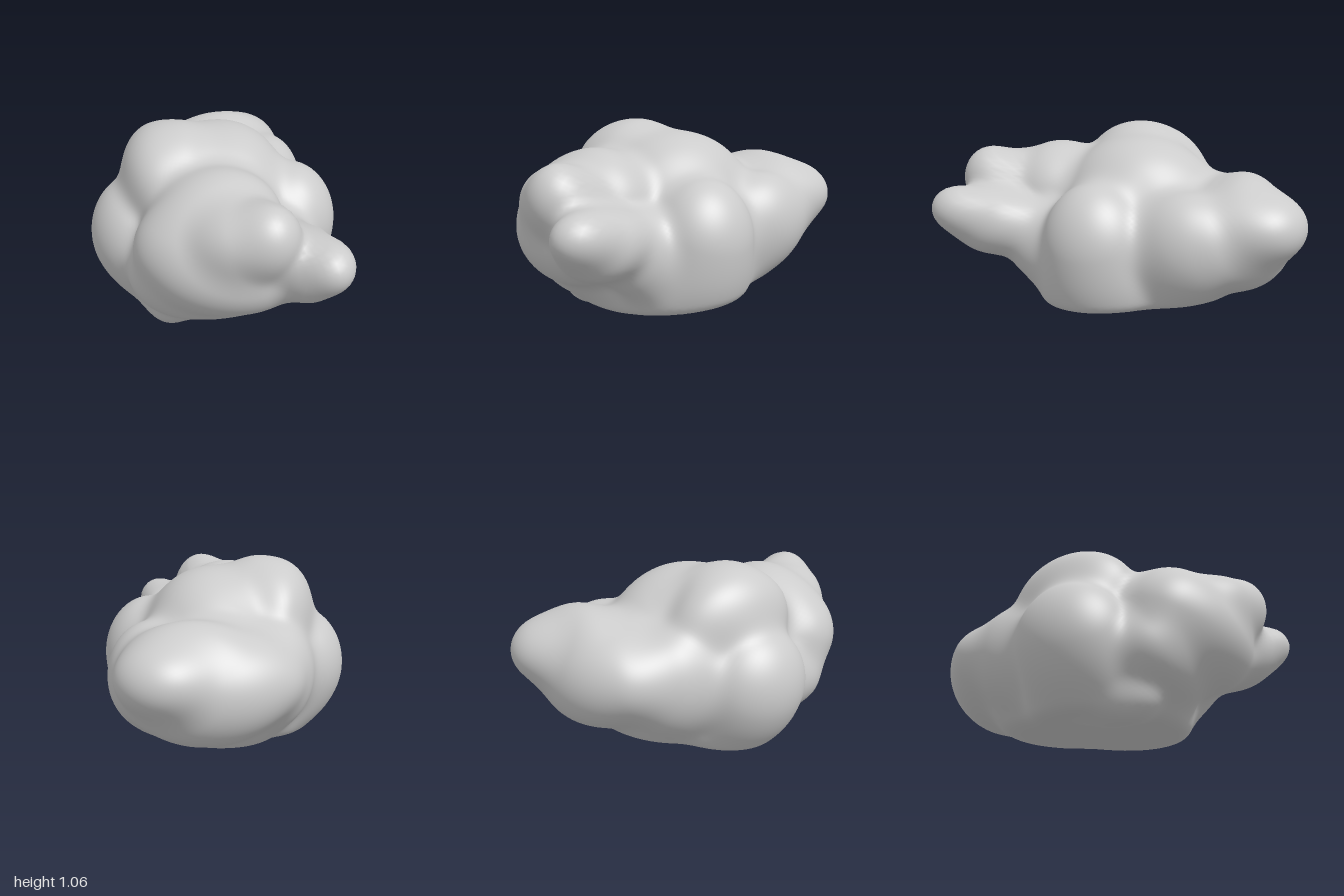
import * as THREE from 'three';
import { mergeVertices } from 'three/addons/utils/BufferGeometryUtils.js';

// Lumps of the boulder: centre x, y, z and radii x, y, z
const lumps = [
  [[0, 0.5, -0.05], [0.47, 0.42, 0.6]],        // core
  [[0.03, 0.28, 0.07], [0.6, 0.4, 0.46]],      // broad base
  [[0.04, 0.4, -0.35], [0.43, 0.3, 0.34]],     // back of base
  [[0.05, 0.3, -0.26], [0.42, 0.27, 0.29]],    // low back of base
  [[-0.42, 0.44, 0.07], [0.265, 0.32, 0.31]],  // right flank
  [[0.415, 0.48, 0.07], [0.265, 0.33, 0.28]],  // left flank
  [[-0.3, 0.5, -0.3], [0.21, 0.28, 0.3]],      // right back flank
  [[0.35, 0.5, -0.4], [0.22, 0.28, 0.3]],      // left back flank
  [[-0.2, 0.75, 0.04], [0.27, 0.305, 0.33]],   // crown
  [[0.05, 0.72, -0.04], [0.33, 0.285, 0.38]],  // crown ridge
  [[-0.32, 0.78, 0.02], [0.17, 0.23, 0.33]],   // crown shoulder
  [[0.02, 0.53, -0.57], [0.46, 0.28, 0.29]],   // back
  [[0.06, 0.49, -0.66], [0.36, 0.26, 0.24]],   // low back
  [[0.12, 0.64, -0.64], [0.28, 0.205, 0.17]],  // back hump
  [[0.22, 0.6, -0.76], [0.25, 0.19, 0.24]],    // back tip
  [[-0.07, 0.57, 0.52], [0.38, 0.3, 0.3]],     // front
  [[0, 0.68, 0.45], [0.32, 0.27, 0.28]],       // front top
  [[-0.12, 0.37, 0.43], [0.36, 0.25, 0.26]],   // front underside
  [[0.06, 0.51, 0.63], [0.37, 0.24, 0.25]],    // jaw
  [[0.1, 0.71, 0.72], [0.25, 0.19, 0.2]],      // brow
  [[0.2, 0.76, 0.8], [0.14, 0.165, 0.145]],    // brow peak
  [[0.48, 0.625, 0.85], [0.125, 0.125, 0.15]], // front knob
  [[0.4, 0.55, 0.68], [0.17, 0.18, 0.25]],     // knob stem
  [[0.34, 0.44, 0.4], [0.17, 0.22, 0.2]],      // hollow behind the knob
];
const foot = [[-0.27, 0.11, 0.26], [0.12, 0.105, 0.2]];

function ellipsoid(p, [c, r]) {
  const x = (p.x - c[0]) / r[0], y = (p.y - c[1]) / r[1], z = (p.z - c[2]) / r[2];
  const k = Math.hypot(x, y, z);
  return k * (k - 1) / (Math.hypot(x / r[0], y / r[1], z / r[2]) + 1e-6);
}

function smoothMin(a, b, k) {
  const h = Math.max(k - Math.abs(a - b), 0) / k;
  return Math.min(a, b) - h * h * k * 0.25;
}

// Blended lumps, cut by a slightly tilted base plane, with a small foot below
function field(p) {
  let d = 9;
  for (const lump of lumps) d = smoothMin(d, ellipsoid(p, lump), 0.09);
  const base = 0.09 + 0.11 * p.x - 0.07 * p.z - p.y;
  d = -smoothMin(-d, -base, 0.05);
  return smoothMin(d, ellipsoid(p, foot), 0.08);
}

function boulderGeometry() {
  let geo = new THREE.IcosahedronGeometry(1, 34);
  geo.deleteAttribute('uv');
  geo.deleteAttribute('normal');
  geo = mergeVertices(geo, 1e-5);
  const pos = geo.attributes.position;
  const centre = new THREE.Vector3(0.02, 0.5, 0);
  const spread = new THREE.Vector3(0.7, 0.6, 1);
  const dir = new THREE.Vector3(), p = new THREE.Vector3();
  const at = t => field(p.copy(centre).addScaledVector(dir, t));
  for (let i = 0; i < pos.count; i++) {
    // favour the long axis, then pull each point in to the surface
    dir.fromBufferAttribute(pos, i).multiply(spread).normalize();
    let lo = 1.35;
    while (lo > 0.1 && at(lo) > 0) lo -= 0.015;
    let hi = lo + 0.015;
    for (let s = 0; s < 10; s++) {
      const mid = (lo + hi) / 2;
      if (at(mid) > 0) hi = mid; else lo = mid;
    }
    p.copy(centre).addScaledVector(dir, lo);
    pos.setXYZ(i, p.x, p.y, p.z);
  }
  geo.computeVertexNormals();
  return geo;
}

export function createModel() {
  const group = new THREE.Group();
  group.name = 'rock';
  const boulder = new THREE.Mesh(boulderGeometry(), new THREE.MeshStandardMaterial({ color: 0xcccccc }));
  boulder.name = 'boulder';
  group.add(boulder);
  return group;
}
